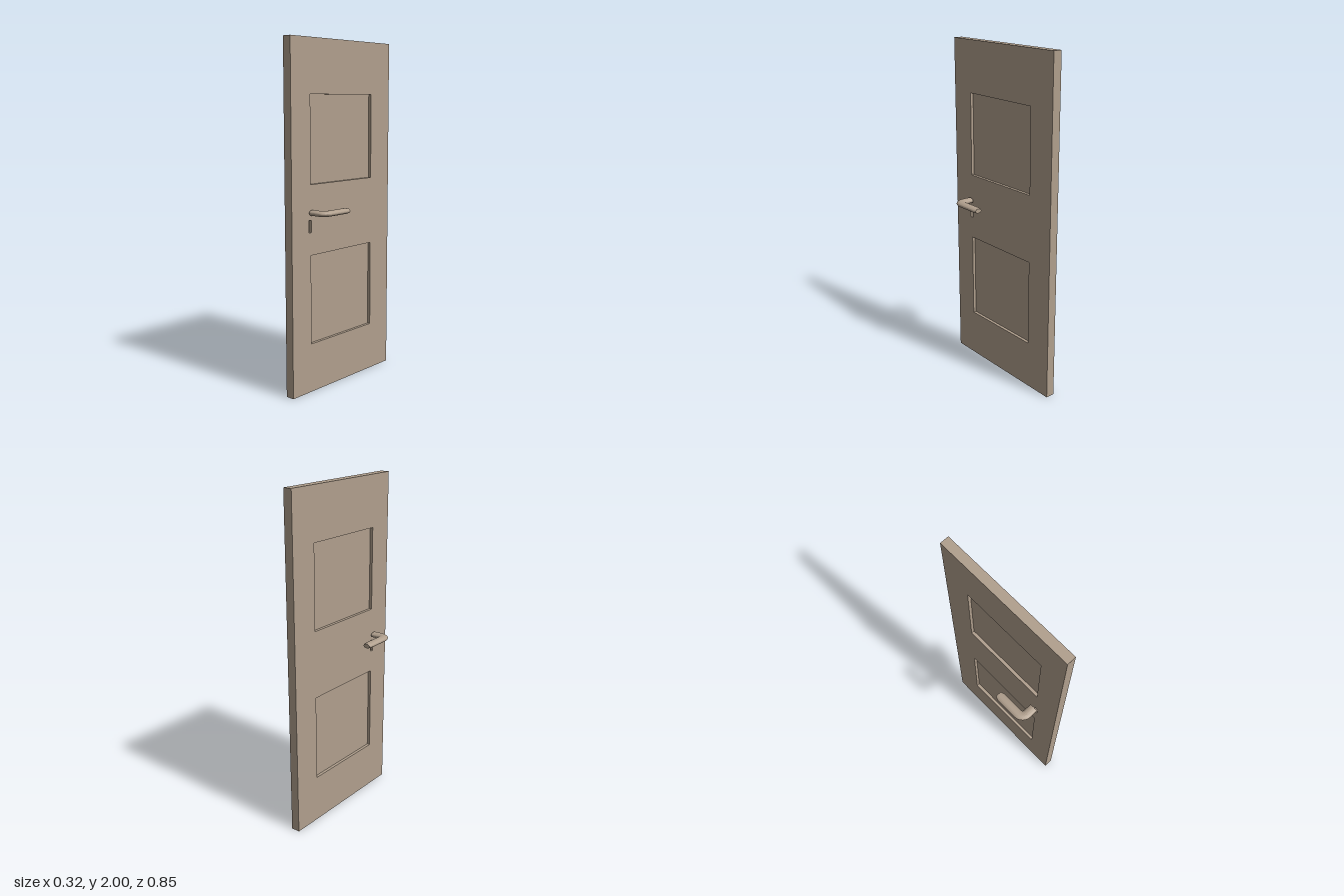
import * as THREE from 'three';
import { toCreasedNormals } from 'three/addons/utils/BufferGeometryUtils.js';

const wood = new THREE.MeshStandardMaterial({ color: 0xb09f8d });
wood.name = 'taupe';

const FRONT = 0.03, BACK = -0.023; // slab faces along x
const HALF_WIDTH = 0.427;
const PANELS = { upperPanel: [1.2, 1.695], lowerPanel: [0.285, 0.8] };
const PANEL_Z = [-0.255, 0.276];

function rect(Type, z0, y0, z1, y1) {
  const p = new Type();
  p.moveTo(z0, y0);
  p.lineTo(z1, y0);
  p.lineTo(z1, y1);
  p.lineTo(z0, y1);
  p.closePath();
  return p;
}

// Oval bar swept along the lever path: out of the door, round a bend, then along -z
function leverGeometry(side) {
  const sides = 40, bend = 12, y = 1.043;
  const bendR = 0.038, cx = 0.093, cz = 0.238;
  // rings: centre x, centre z, heading angle, half width, half height
  const rings = [[0.042, cz + bendR, 0, 0.027, 0.016]];
  for (let i = 0; i <= bend; i++) {
    const a = (i / bend) * Math.PI / 2;
    rings.push([cx + bendR * Math.sin(a), cz + bendR * Math.cos(a), a, 0.0275, 0.016]);
  }
  const armX = cx + bendR;
  rings.push([armX, 0.1, Math.PI / 2, 0.0275, 0.016]);
  rings.push([armX, 0.08, Math.PI / 2, 0.021, 0.0135]);

  const pos = [], idx = [];
  const tri = (a, b, c) => (side > 0 ? idx.push(a, b, c) : idx.push(a, c, b));
  for (const [x, z, a, w, h] of rings) {
    for (let j = 0; j < sides; j++) {
      const t = (j / sides) * Math.PI * 2;
      const u = w * Math.cos(t);
      pos.push(side * (x + u * Math.sin(a)), y + h * Math.sin(t), z + u * Math.cos(a));
    }
  }
  for (let i = 0; i < rings.length - 1; i++) {
    for (let j = 0; j < sides; j++) {
      const k = (j + 1) % sides;
      const a = i * sides + j, b = i * sides + k;
      tri(a, a + sides, b);
      tri(b, a + sides, b + sides);
    }
  }
  // end caps
  const last = (rings.length - 1) * sides;
  for (let j = 1; j < sides - 1; j++) {
    tri(0, j, j + 1);
    tri(last, last + j + 1, last + j);
  }
  const g = new THREE.BufferGeometry();
  g.setAttribute('position', new THREE.Float32BufferAttribute(pos, 3));
  g.setIndex(idx);
  return toCreasedNormals(g, 0.32);
}

export function createModel() {
  const door = new THREE.Group();
  door.name = 'door';
  const add = (name, geometry) => {
    const mesh = new THREE.Mesh(geometry, wood);
    mesh.name = name;
    door.add(mesh);
    return mesh;
  };

  // Slab with panel openings and a keyhole cut right through
  const outline = rect(THREE.Shape, -HALF_WIDTH, 0, HALF_WIDTH, 2);
  for (const [y0, y1] of Object.values(PANELS)) {
    outline.holes.push(rect(THREE.Path, PANEL_Z[0], y0, PANEL_Z[1], y1));
  }
  outline.holes.push(rect(THREE.Path, 0.271, 0.93, 0.291, 1.0));
  const slab = new THREE.ExtrudeGeometry(outline, { depth: FRONT - BACK, bevelEnabled: false });
  slab.rotateY(-Math.PI / 2);
  slab.translate(FRONT, 0, 0);
  add('slab', slab);

  // Recessed panels, set back from both faces
  for (const [name, [y0, y1]] of Object.entries(PANELS)) {
    const panel = add(name, new THREE.BoxGeometry(0.017, y1 - y0, PANEL_Z[1] - PANEL_Z[0]));
    panel.position.set((FRONT + BACK) / 2, (y0 + y1) / 2, (PANEL_Z[0] + PANEL_Z[1]) / 2);
  }

  // Lever handle on each face
  add('leftHandle', leverGeometry(1));
  add('rightHandle', leverGeometry(-1));
  return door;
}
